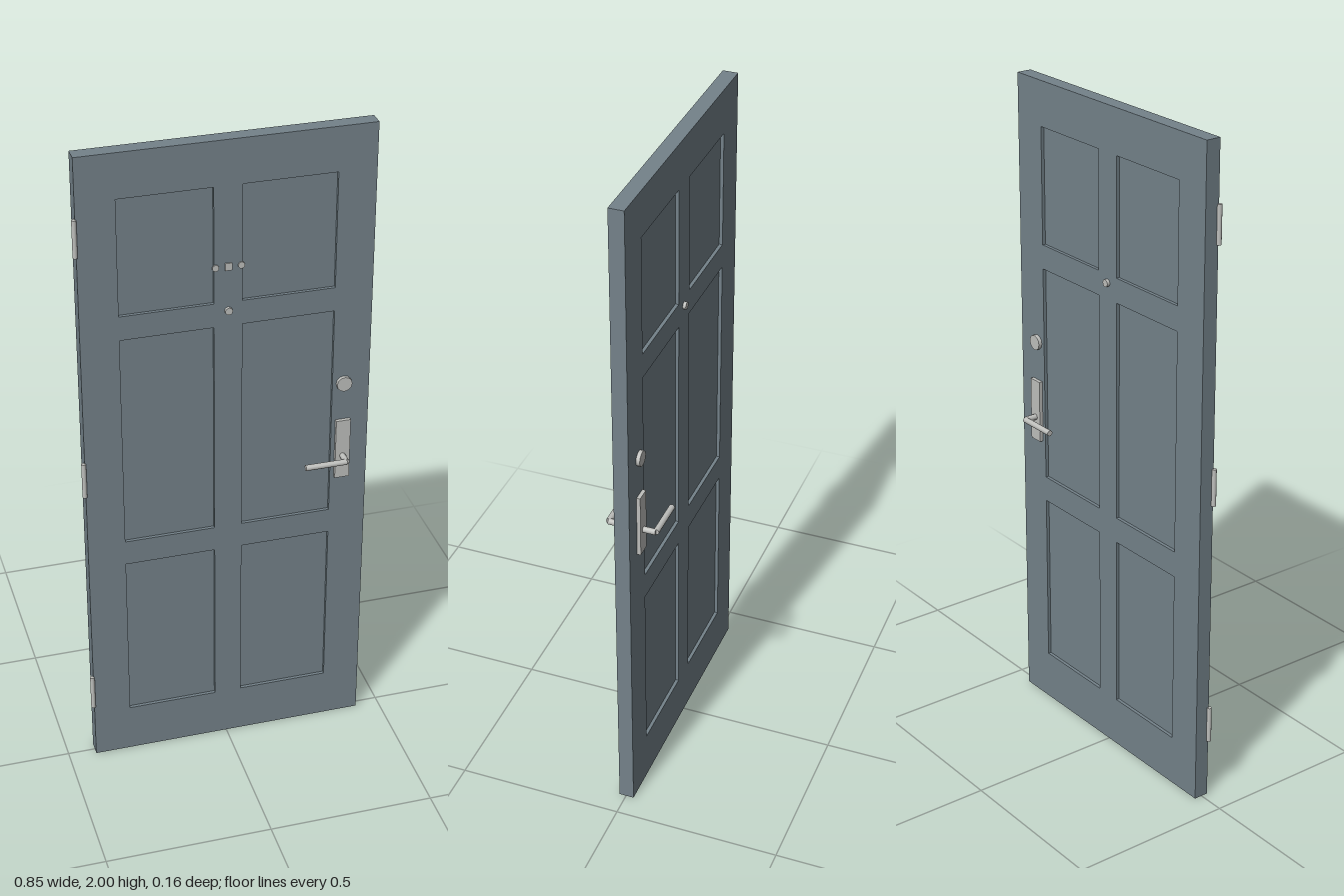
import * as THREE from 'three';

const paint = new THREE.MeshStandardMaterial({ color: 0x74828a });
paint.name = 'blue grey paint';
const metal = new THREE.MeshStandardMaterial({ color: 0xbfc0bd });
metal.name = 'brushed metal';

const LEFT = -0.417, RIGHT = 0.427, MID = 0.005;
const FRONT = 0.021, BACK = -0.024;

function add(parent, name, geometry, material, x = 0, y = 0, z = 0) {
  const mesh = new THREE.Mesh(geometry, material);
  mesh.name = name;
  mesh.position.set(x, y, z);
  parent.add(mesh);
  return mesh;
}

// Cylinder whose axis runs along z
function disc(radius, depth, sides) {
  return new THREE.CylinderGeometry(radius, radius, depth, sides).rotateX(Math.PI / 2);
}

function rectangle(target, x0, y0, x1, y1) {
  target.moveTo(x0, y0);
  target.lineTo(x1, y0);
  target.lineTo(x1, y1);
  target.lineTo(x0, y1);
  target.closePath();
  return target;
}

export function createModel() {
  const door = new THREE.Group();
  door.name = 'door';

  // Frame of stiles and rails, with six recessed panels
  const frame = rectangle(new THREE.Shape(), LEFT, 0, RIGHT, 2);
  const columns = [[-0.306, -0.036], [0.046, 0.316]];
  const rows = [[0.154, 0.69], [0.769, 1.439], [1.513, 1.866]];
  for (const [x0, x1] of columns) {
    for (const [y0, y1] of rows) {
      frame.holes.push(rectangle(new THREE.Path(), x0, y0, x1, y1));
      add(door, 'recessedPanel', new THREE.BoxGeometry(x1 - x0, y1 - y0, 0.025), paint,
        (x0 + x1) / 2, (y0 + y1) / 2, (FRONT + BACK) / 2);
    }
  }
  const slab = new THREE.ExtrudeGeometry(frame, { depth: FRONT - BACK, bevelEnabled: false });
  add(door, 'doorFrame', slab, paint, 0, 0, BACK);

  // Hinge barrels
  for (const y of [0.24, 1.002, 1.765]) {
    add(door, 'hinge', new THREE.CylinderGeometry(0.007, 0.007, 0.112, 12), metal, -0.42, y, FRONT);
  }

  // Furniture repeated on both faces
  for (const side of [1, -1]) {
    const face = side > 0 ? FRONT : BACK;
    const set = new THREE.Group();
    set.name = side > 0 ? 'frontFurniture' : 'backFurniture';
    door.add(set);
    add(set, 'peephole', disc(0.011, 0.009, 12), metal, MID, 1.488, face + side * 0.0045);
    add(set, 'deadbolt', disc(0.023, 0.011, 12), metal, 0.35, 1.2, face + side * 0.0055);
    add(set, 'handlePlate', new THREE.BoxGeometry(0.044, 0.194, 0.011), metal,
      0.35, 0.982, face + side * 0.0055);
    add(set, 'handlePost', disc(0.009, 0.048, 10), metal, 0.35, 0.96, face + side * 0.024);
    const lever = new THREE.CylinderGeometry(0.009, 0.009, 0.125, 10).rotateZ(Math.PI / 2);
    add(set, 'handleLever', lever, metal, 0.2875, 0.96, face + side * 0.048);
  }

  // Three small studs on the front
  for (const dx of [-0.037, 0.037]) {
    add(door, 'roundStud', disc(0.01, 0.004, 10), metal, MID + dx, 1.624, FRONT + 0.002);
  }
  add(door, 'squareStud', new THREE.BoxGeometry(0.02, 0.022, 0.004), metal, MID, 1.624, FRONT + 0.002);

  return door;
}
